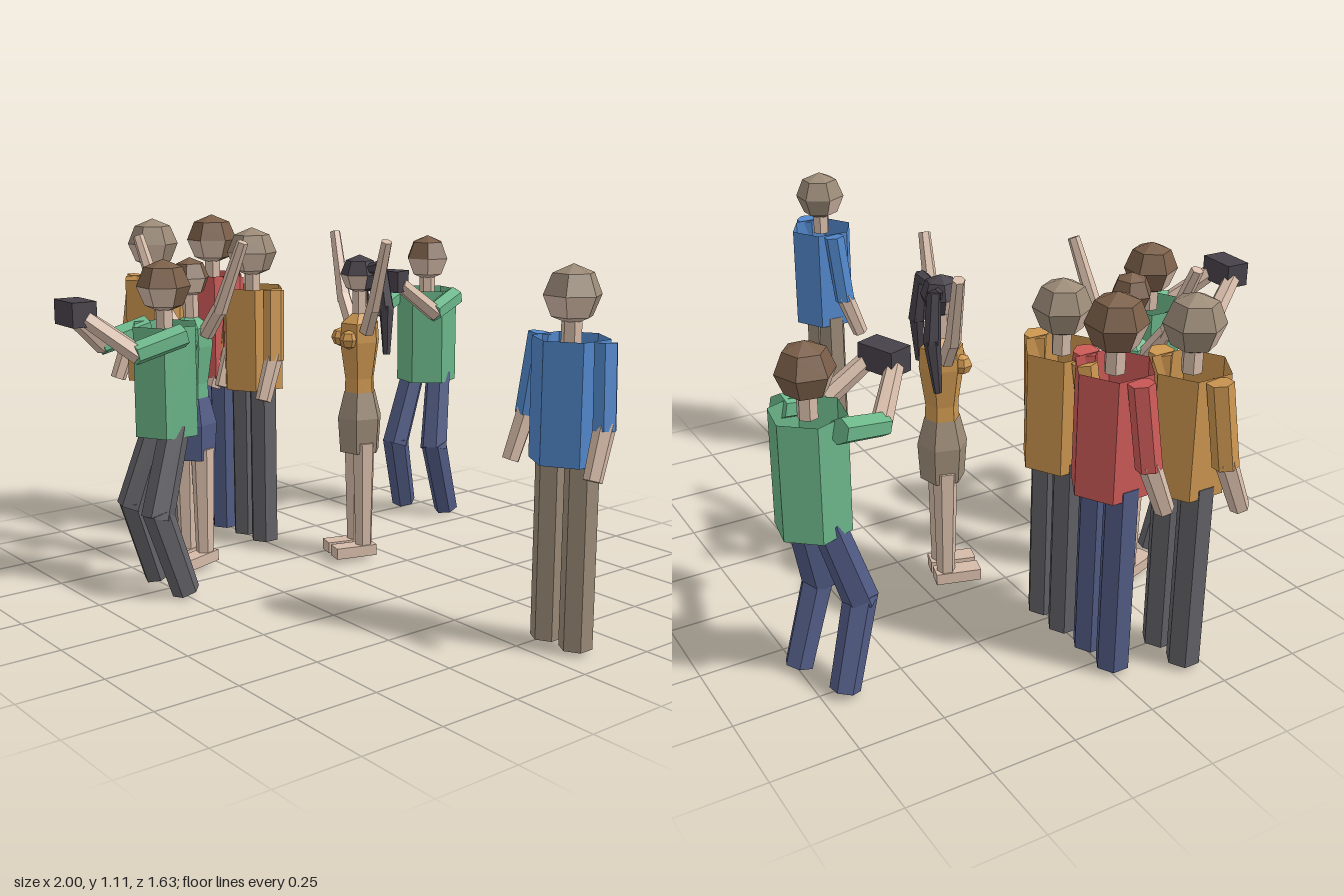
import * as THREE from 'three';

const mat = (name, color) => Object.assign(new THREE.MeshStandardMaterial({ color, flatShading: true, side: THREE.DoubleSide }), { name });
const M = {
  blue: mat('blue cloth', 0x5288cc),
  orange: mat('orange cloth', 0xcc9650),
  red: mat('red cloth', 0xcc5a57),
  green: mat('green cloth', 0x6ab588),
  grey: mat('grey cloth', 0x636368),
  navy: mat('navy cloth', 0x525c85),
  beige: mat('beige', 0x9c8b77),
  skin: mat('skin', 0xd6bba8),
  brown: mat('brown hair', 0x7b5f49),
  dark: mat('charcoal', 0x47424a),
};

function add(group, name, geometry, material, pos = [0, 0, 0]) {
  const mesh = new THREE.Mesh(geometry, material);
  mesh.name = name;
  mesh.position.set(...pos);
  group.add(mesh);
  return mesh;
}

// Six-sided tapered rod between two points
function limb(group, name, a, b, r0, r1, material) {
  const A = new THREE.Vector3(...a), B = new THREE.Vector3(...b);
  const dir = B.clone().sub(A);
  const mesh = add(group, name, new THREE.CylinderGeometry(r1, r0, dir.length(), 6), material);
  mesh.position.copy(A).add(B).multiplyScalar(0.5);
  mesh.quaternion.setFromUnitVectors(new THREE.Vector3(0, 1, 0), dir.normalize());
}

// Faceted head: hair over the top and back, face at the lower front
function addHead(group, y, r, hair) {
  const P = Math.PI, head = new THREE.Group();
  head.name = 'head';
  head.position.y = y;
  add(head, 'hairTop', new THREE.SphereGeometry(r, 6, 2, 0, 2 * P, 0, P / 2), hair);
  add(head, 'hairBack', new THREE.SphereGeometry(r, 3, 2, P, P, P / 2, P / 2), hair);
  add(head, 'face', new THREE.SphereGeometry(r, 3, 2, 0, P, P / 2, P / 2), M.skin);
  group.add(head);
}

// Man's open hexagonal shirt with head and neck
function addUpperBody(group, drop, shirt, hair) {
  add(group, 'shirt', new THREE.CylinderGeometry(0.106, 0.106, 0.333, 6, 1, true), shirt, [0, 0.7 - drop, 0]);
  limb(group, 'neck', [0, 0.85 - drop, 0], [0, 0.92 - drop, 0], 0.028, 0.028, M.skin);
  addHead(group, 0.979 - drop, 0.081, hair);
}

function standingMan(shirt, trousers, hair) {
  const g = new THREE.Group();
  addUpperBody(g, 0, shirt, hair);
  for (const s of [-1, 1]) {
    limb(g, 'leg', [s * 0.053, 0.018, 0], [s * 0.053, 0.56, 0], 0.047, 0.047, trousers);
    limb(g, 'sleeve', [s * 0.115, 0.865, -0.005], [s * 0.138, 0.64, 0.015], 0.034, 0.034, shirt);
    limb(g, 'forearm', [s * 0.138, 0.66, 0.012], [s * 0.148, 0.515, 0.065], 0.03, 0.026, M.skin);
  }
  return g;
}

// Man with bent knees holding a camera in front of his face
function cameraman(shirt, trousers, hair) {
  const g = new THREE.Group();
  addUpperBody(g, 0.035, shirt, hair);
  for (const s of [-1, 1]) {
    limb(g, 'thigh', [s * 0.05, 0.53, 0], [s * 0.08, 0.26, 0.085], 0.045, 0.05, trousers);
    limb(g, 'shin', [s * 0.08, 0.285, 0.085], [s * 0.09, 0.018, 0], 0.047, 0.043, trousers);
    limb(g, 'sleeve', [s * 0.11, 0.81, 0], [s * 0.11, 0.77, 0.16], 0.036, 0.034, shirt);
    limb(g, 'forearm', [s * 0.112, 0.765, 0.145], [s * 0.045, 0.875, 0.275], 0.03, 0.026, M.skin);
  }
  add(g, 'camera', new THREE.BoxGeometry(0.122, 0.072, 0.075), M.dark, [0, 0.888, 0.285]);
  return g;
}

const lathe = (points) => new THREE.LatheGeometry(points.map((p) => new THREE.Vector2(...p)), 6);

// Woman with both arms raised
function cheeringWoman(top, shorts, hair, pigtails) {
  const g = new THREE.Group();
  add(g, 'top', lathe([[0.052, 0.54], [0.05, 0.61], [0.068, 0.73], [0.064, 0.79], [0.025, 0.82]]), top);
  add(g, 'shorts', lathe([[0.068, 0.365], [0.076, 0.48], [0.054, 0.565]]), shorts);
  limb(g, 'neck', [0, 0.8, 0], [0, 0.9, 0], 0.025, 0.025, M.skin);
  addHead(g, 0.945, 0.063, hair);
  for (const s of [-1, 1]) {
    add(g, 'bust', new THREE.SphereGeometry(0.031, 6, 4), top, [s * 0.035, 0.74, 0.052]);
    limb(g, 'leg', [s * 0.036, 0.04, 0], [s * 0.036, 0.4, 0], 0.028, 0.038, M.skin);
    add(g, 'foot', new THREE.BoxGeometry(0.056, 0.036, 0.14), M.skin, [s * 0.037, 0.037, 0.035]);
    limb(g, 'upperArm', [s * 0.06, 0.77, 0], [s * 0.125, 0.86, 0.005], 0.026, 0.024, M.skin);
    limb(g, 'forearm', [s * 0.12, 0.845, 0.005], [s * 0.212, 1.065, 0], 0.024, 0.018, M.skin);
    if (pigtails) {
      limb(g, 'pigtailRoot', [s * 0.04, 0.965, -0.02], [s * 0.085, 0.975, -0.04], 0.018, 0.022, hair);
      limb(g, 'pigtail', [s * 0.08, 0.985, -0.038], [s * 0.1, 0.84, -0.05], 0.02, 0.026, hair);
      limb(g, 'pigtailEnd', [s * 0.1, 0.85, -0.05], [s * 0.125, 0.7, -0.04], 0.025, 0.012, hair);
    }
  }
  return g;
}

export function createModel() {
  const model = new THREE.Group();
  model.name = 'crowd';
  const place = (name, figure, x, z, yaw = 0, scale = 1) => {
    figure.name = name;
    figure.position.set(x, 0, z);
    figure.rotation.y = THREE.MathUtils.degToRad(yaw);
    figure.scale.setScalar(scale);
    model.add(figure);
  };
  // Onlookers
  place('blueMan', standingMan(M.blue, M.beige, M.beige), 0.825, -0.097);
  place('frontOrangeMan', standingMan(M.orange, M.grey, M.beige), -0.817, 0.203, 0, 1.04);
  place('redMan', standingMan(M.red, M.navy, M.brown), -0.735, 0.017, 0, 1.05);
  place('backOrangeMan', standingMan(M.orange, M.grey, M.beige), -0.512, 0.003, 0, 1.02);
  // Cameramen
  place('frontCameraman', cameraman(M.green, M.grey, M.brown), -0.257, 0.495, -2);
  place('backCameraman', cameraman(M.green, M.navy, M.brown), -0.437, -0.713, 20);
  // Cheering women
  place('greenWoman', cheeringWoman(M.green, M.navy, M.brown, false), -0.405, 0.312, 18);
  place('orangeWoman', cheeringWoman(M.orange, M.beige, M.dark, true), -0.147, -0.165, -16);
  return model;
}
